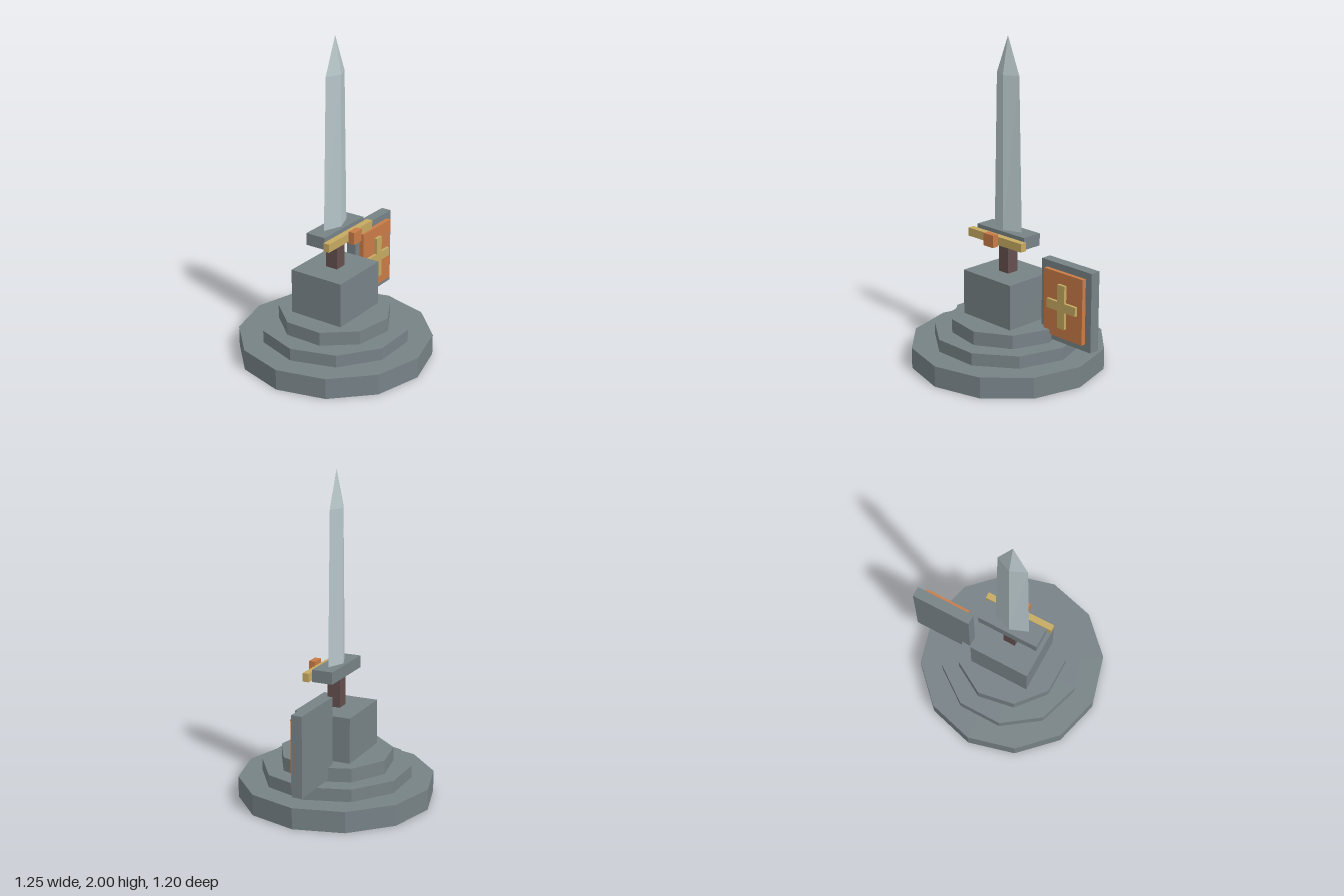
import * as THREE from 'three';

const flat = (name, color) => {
  const m = new THREE.MeshStandardMaterial({ color });
  m.name = name;
  return m;
};

export function createModel() {
  const root = new THREE.Group();
  root.name = 'swordMonument';
  const stone = flat('stone grey', 0x778286);
  const steel = flat('pale steel', 0xb6c5c8);
  const orange = flat('burnt orange', 0xc87b47);
  const gold = flat('dull gold', 0xc6aa62);
  const leather = flat('dark leather', 0x644f4e);
  const CX = -0.027; // axis of plinth and sword

  const add = (name, geometry, material, parent = root) => {
    const mesh = new THREE.Mesh(geometry, material);
    mesh.name = name;
    parent.add(mesh);
    return mesh;
  };
  // Box given by its limits on each axis
  const box = (name, mat, [x0, x1], [y0, y1], [z0, z1], parent) => {
    const g = new THREE.BoxGeometry(x1 - x0, y1 - y0, z1 - z0);
    g.translate((x0 + x1) / 2, (y0 + y1) / 2, (z0 + z1) / 2);
    return add(name, g, mat, parent);
  };
  const around = (h) => [CX - h, CX + h];

  // Stepped plinth: each tier has fewer sides than the one below
  [
    ['baseTier', 0.6, 12, 0, 0.13],
    ['middleTier', 0.46, 10, 0.13, 0.207],
    ['topTier', 0.35, 9, 0.207, 0.292],
  ].forEach(([name, r, sides, y0, y1]) => {
    const g = new THREE.CylinderGeometry(r, r, y1 - y0, sides).toNonIndexed();
    g.computeVertexNormals();
    g.rotateY(Math.PI / 2);
    g.translate(CX, (y0 + y1) / 2, 0);
    add(name, g, stone);
  });
  box('pedestalBlock', stone, around(0.2), [0.292, 0.572], [-0.18, 0.18]);

  // Sword: grip, guard with its trim, and blade
  const sword = new THREE.Group();
  sword.name = 'sword';
  root.add(sword);
  box('grip', leather, around(0.04), [0.572, 0.754], [-0.04, 0.04], sword);
  box('guard', stone, around(0.2), [0.765, 0.84], [-0.066, 0.066], sword);
  box('guardBar', gold, around(0.225), [0.768, 0.82], [0.075, 0.115], sword);
  box('guardGem', orange, around(0.04), [0.763, 0.84], [0.124, 0.164], sword);

  // Blade: diamond rings joined upwards, closing in a point
  const rings = [[0.84, 0.115, 0.044], [1.775, 0.093, 0.042], [2, 0, 0]];
  const corner = ([y, w, d], i) => {
    const a = (i * Math.PI) / 2;
    return [CX + w * Math.sin(a), y, d * Math.cos(a)];
  };
  const pos = [];
  for (let k = 0; k < 2; k++) {
    for (let i = 0; i < 4; i++) {
      const a = corner(rings[k], i), b = corner(rings[k], i + 1);
      const c = corner(rings[k + 1], i + 1), d = corner(rings[k + 1], i);
      pos.push(...a, ...b, ...c);
      if (k === 0) pos.push(...a, ...c, ...d);
    }
  }
  const base = [0, 1, 2, 3].map((i) => corner(rings[0], i));
  pos.push(...base[0], ...base[2], ...base[1], ...base[0], ...base[3], ...base[2]);
  const bladeGeo = new THREE.BufferGeometry();
  bladeGeo.setAttribute('position', new THREE.Float32BufferAttribute(pos, 3));
  bladeGeo.computeVertexNormals();
  add('blade', bladeGeo, steel, sword);

  // Shield: slab, raised panel and cross
  const shield = new THREE.Group();
  shield.name = 'shield';
  root.add(shield);
  box('shieldSlab', stone, [0.23, 0.624], [0.221, 0.71], [-0.094, -0.028], shield);
  box('shieldPanel', orange, [0.275, 0.58], [0.264, 0.668], [-0.028, 0], shield);
  const t = 0.028, w = 0.113, h = 0.135;
  const cross = new THREE.Shape([
    [-t, -h], [t, -h], [t, -t], [w, -t], [w, t], [t, t],
    [t, h], [-t, h], [-t, t], [-w, t], [-w, -t], [-t, -t],
  ].map(([x, y]) => new THREE.Vector2(x, y)));
  const crossGeo = new THREE.ExtrudeGeometry(cross, { depth: 0.018, bevelEnabled: false });
  crossGeo.translate(0.427, 0.465, 0);
  add('shieldCross', crossGeo, gold, shield);

  return root;
}
